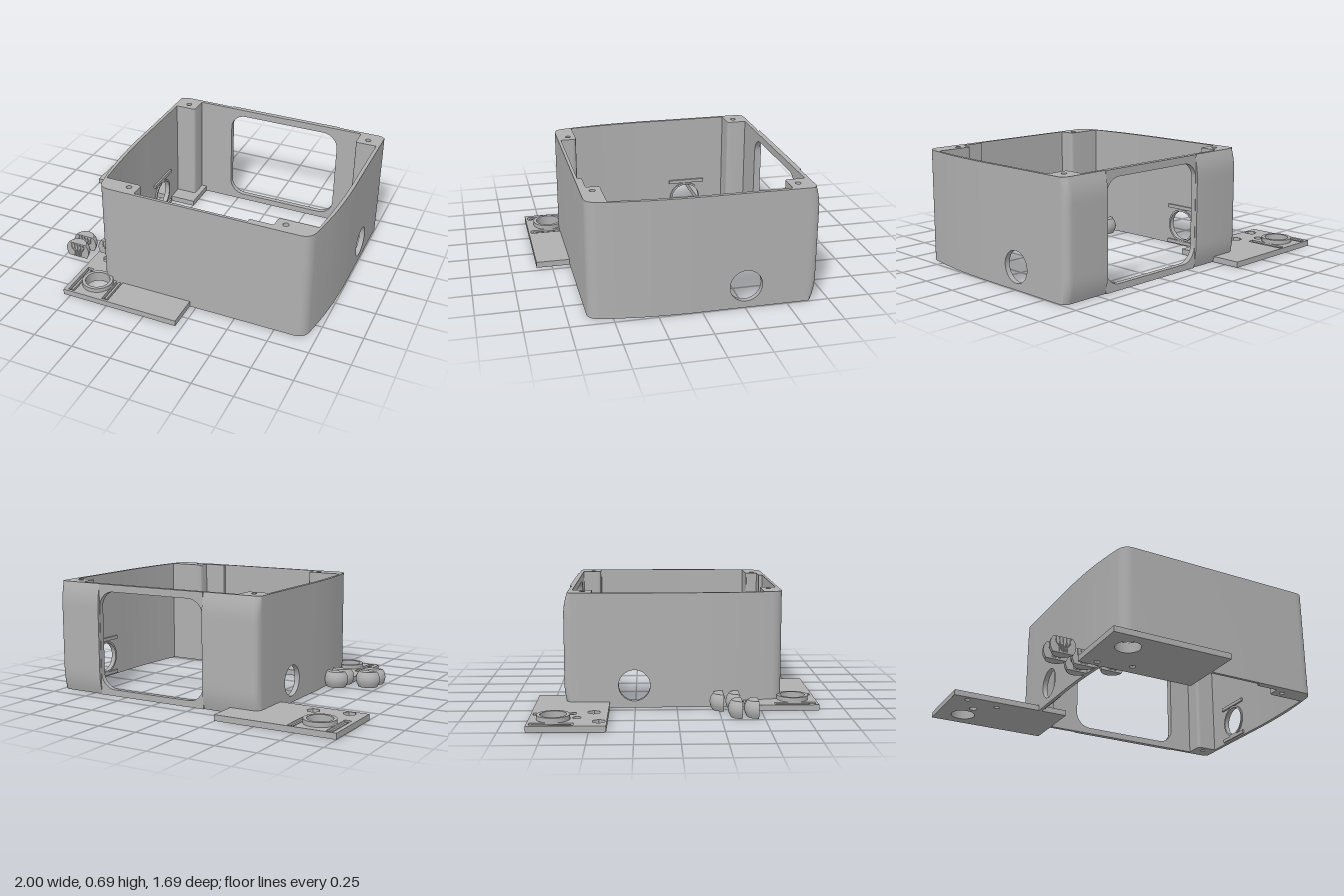
import * as THREE from 'three';
import { toCreasedNormals } from 'three/addons/utils/BufferGeometryUtils.js';

const H = 0.695; // enclosure height
const grey = new THREE.MeshStandardMaterial({ color: 0xb0b0b0, side: THREE.DoubleSide });
grey.name = 'grey plastic';

export function createModel() {
  const root = new THREE.Group();

  function add(name, geo, parent = root) {
    const mesh = new THREE.Mesh(geo, grey);
    mesh.name = name;
    parent.add(mesh);
    return mesh;
  }
  const circle = (x, y, r, n = 0) => {
    const p = new THREE.Path();
    if (!n) return p.absarc(x, y, r, 0, Math.PI * 2);
    return p.setFromPoints(Array.from({ length: n + 1 }, (_, i) =>
      new THREE.Vector2(x + r * Math.cos(i / n * Math.PI * 2), y + r * Math.sin(i / n * Math.PI * 2))));
  };
  const rect = (x0, y0, x1, y1, r = 0, P = THREE.Path) => {
    const p = new P();
    p.moveTo(x0 + r, y0).lineTo(x1 - r, y0);
    if (r) p.absarc(x1 - r, y0 + r, r, -Math.PI / 2, 0);
    p.lineTo(x1, y1 - r);
    if (r) p.absarc(x1 - r, y1 - r, r, 0, Math.PI / 2);
    p.lineTo(x0 + r, y1);
    if (r) p.absarc(x0 + r, y1 - r, r, Math.PI / 2, Math.PI);
    p.lineTo(x0, y0 + r);
    if (r) p.absarc(x0 + r, y0 + r, r, Math.PI, Math.PI * 1.5);
    return p;
  };
  const extrude = (shape, depth, steps = 1) => new THREE.ExtrudeGeometry(shape,
    { depth, steps, bevelEnabled: false, curveSegments: 20 });
  // Plan shapes use (x, -z) and rise from y0 to y1
  const rise = (shape, y0, y1, steps) =>
    extrude(shape, y1 - y0, steps).rotateX(-Math.PI / 2).translate(0, y0, 0);
  // Side shapes use (-z, y) and run from x0 to x1
  const across = (shape, x0, x1) => extrude(shape, x1 - x0).rotateY(Math.PI / 2).translate(x0, 0, 0);
  const smooth = geo => toCreasedNormals(geo, 0.6);
  const v = (x, z) => new THREE.Vector2(x, -z);

  // Enclosure
  const box = new THREE.Group();
  box.name = 'enclosure';
  root.add(box);

  // Front wall, tapering sides and front screw posts in one section
  const front = new THREE.Shape();
  front.moveTo(-0.435, 0.1);
  front.splineThru([v(-0.435, 0.08), v(-0.424, 0.3), v(-0.402, 0.48), v(-0.385, 0.58)]);
  front.quadraticCurveTo(-0.37, -0.64, -0.31, -0.64);
  front.lineTo(0.87, -0.64);
  front.quadraticCurveTo(0.93, -0.64, 0.945, -0.58);
  front.splineThru([v(0.962, 0.48), v(0.984, 0.3), v(0.995, 0.08), v(0.995, -0.1)]);
  front.lineTo(0.973, 0.1);
  front.splineThru([v(0.973, 0.08), v(0.962, 0.3), v(0.942, 0.52)]);
  front.lineTo(0.73, -0.52);
  front.quadraticCurveTo(0.705, -0.52, 0.705, -0.545);
  front.lineTo(0.705, -0.598).lineTo(0.56, -0.598).lineTo(0.56, -0.622);
  front.lineTo(-0.15, -0.622).lineTo(-0.15, -0.55);
  front.quadraticCurveTo(-0.15, -0.525, -0.175, -0.525);
  front.lineTo(-0.382, -0.525);
  front.splineThru([v(-0.402, 0.3), v(-0.413, 0.08), v(-0.413, -0.1)]);
  front.holes.push(circle(-0.21, -0.57, 0.017), circle(0.765, -0.57, 0.017));
  add('front wall', smooth(rise(front, 0, H)), box);

  // Back corners with posts, bulging outward at mid height
  const bulge = y => {
    const t = Math.max(0, 1 - Math.min(y, H - y) / 0.14);
    return 0.024 * t * t;
  };
  for (const side of [1, -1]) {
    const X = x => side > 0 ? x : 0.56 - x;
    const end = side > 0 ? -0.06 : -0.13;
    const s = new THREE.Shape();
    s.moveTo(X(-0.435), 0.4);
    s.lineTo(X(-0.435), 0.62);
    s.quadraticCurveTo(X(-0.435), 0.678, X(-0.385), 0.678);
    s.lineTo(X(-0.13), 0.678).lineTo(X(end), 0.674).lineTo(X(end), 0.63);
    s.lineTo(X(-0.28), 0.63).lineTo(X(-0.28), 0.53);
    s.quadraticCurveTo(X(-0.28), 0.51, X(-0.30), 0.51);
    s.lineTo(X(-0.413), 0.51).lineTo(X(-0.413), 0.4);
    s.holes.push(circle(X(-0.347), 0.565, 0.017));
    const geo = rise(s, 0, H, 24);
    const p = geo.attributes.position;
    for (let i = 0; i < p.count; i++) {
      const w = Math.min(1, Math.max(0, (-p.getZ(i) - 0.632) / 0.03));
      p.setZ(i, p.getZ(i) + w * bulge(p.getY(i)));
    }
    add(side > 0 ? 'right back corner' : 'left back corner', smooth(geo), box);

    // Side panel with round port, inner collar and rails
    const panel = rect(0.1, 0, 0.4, H, 0, THREE.Shape);
    panel.holes.push(circle(0.255, 0.135, 0.095));
    const x0 = side > 0 ? -0.435 : 0.973;
    add('side panel', smooth(across(panel, x0, x0 + 0.022)), box);
    const collar = new THREE.Shape().absarc(0.255, 0.135, 0.107, 0, Math.PI * 2);
    collar.holes.push(circle(0.255, 0.135, 0.095));
    const xi = side > 0 ? -0.413 : 0.963;
    add('port collar', smooth(across(collar, xi, xi + 0.01)), box);
    for (const y of [0.02, 0.255]) {
      add('inner rail', new THREE.BoxGeometry(0.012, 0.022, 0.24)
        .translate(X(-0.407), y, -0.26), box);
    }
  }

  // Back wall with a large rounded window
  const back = rect(-0.06, 0, 0.69, H, 0, THREE.Shape);
  back.holes.push(rect(-0.058, 0.04, 0.688, 0.65, 0.1));
  add('back wall', smooth(extrude(back, 0.032).translate(0, 0, -0.662)), box);

  // Mounting plates: a solid base, a slotted top layer and a raised ring
  function plate(name, x, s) {
    const g = new THREE.Group();
    g.name = name;
    root.add(g);
    const Z = d => -s * d; // plan coordinate of a distance from the centre line
    const outline = () => rect(x, Math.min(Z(0.845), Z(0.403)), x + 0.755,
      Math.max(Z(0.845), Z(0.403)), 0, THREE.Shape);
    const nuts = [[0.1, 0.448], [0.31, 0.485]];
    const base = outline(), top = outline();
    for (const layer of [base, top]) {
      layer.holes.push(circle(x + 0.162, Z(0.705), 0.075), circle(x + 0.185, Z(0.575), 0.025));
    }
    for (const [dx, z] of nuts) {
      base.holes.push(circle(x + dx, Z(z), 0.018));
      top.holes.push(circle(x + dx, Z(z), 0.04, 6));
    }
    for (const dx of [0.047, 0.278]) {
      top.holes.push(rect(x + dx - 0.021, Math.min(Z(0.83), Z(0.585)),
        x + dx + 0.021, Math.max(Z(0.83), Z(0.585))));
      add('slot rib', new THREE.BoxGeometry(0.014, 0.018, 0.22)
        .translate(x + dx, 0.022, s * 0.7075), g);
    }
    add('plate base', smooth(rise(base, 0, 0.014)), g);
    add('plate top', smooth(rise(top, 0.014, 0.036)), g);
    const ring = new THREE.Shape().absarc(x + 0.162, Z(0.705), 0.095, 0, Math.PI * 2);
    ring.holes.push(circle(x + 0.162, Z(0.705), 0.075));
    add('plate ring', smooth(rise(ring, 0.036, 0.063)), g);
  }
  plate('back plate', -1, -1);
  plate('front plate', -0.545, 1);

  // Half-round clamps with a ribbed flat face
  const profile = [[0, 0], [0.064, 0], [0.076, 0.025], [0.081, 0.05], [0.074, 0.078], [0.06, 0.1], [0, 0.1]]
    .map(([r, y]) => new THREE.Vector2(r, y));
  const face = new THREE.Shape([...profile.slice(1, -1),
    ...profile.slice(1, -1).reverse().map(p => new THREE.Vector2(-p.x, p.y))]);
  for (const [x, z] of [[-0.667, 0.37], [-0.487, 0.275], [-0.487, 0.37], [-0.31, 0.37], [-0.667, 0.465]]) {
    const g = new THREE.Group();
    g.name = 'clamp';
    g.position.set(x, 0, z);
    root.add(g);
    add('clamp shell', smooth(new THREE.LatheGeometry(profile, 24, Math.PI / 2, Math.PI).toNonIndexed()), g);
    add('clamp face', new THREE.ShapeGeometry(face), g);
    for (const k of [-2, -1, 0, 1, 2]) {
      const path = new THREE.CatmullRomCurve3([[0.011, 0.008], [0.012, 0.04], [0.021, 0.062], [0.022, 0.094]]
        .map(([dx, y]) => new THREE.Vector3(k * dx, y, 0)));
      add('clamp rib', new THREE.TubeGeometry(path, 10, 0.004, 5), g);
    }
  }
  return root;
}
